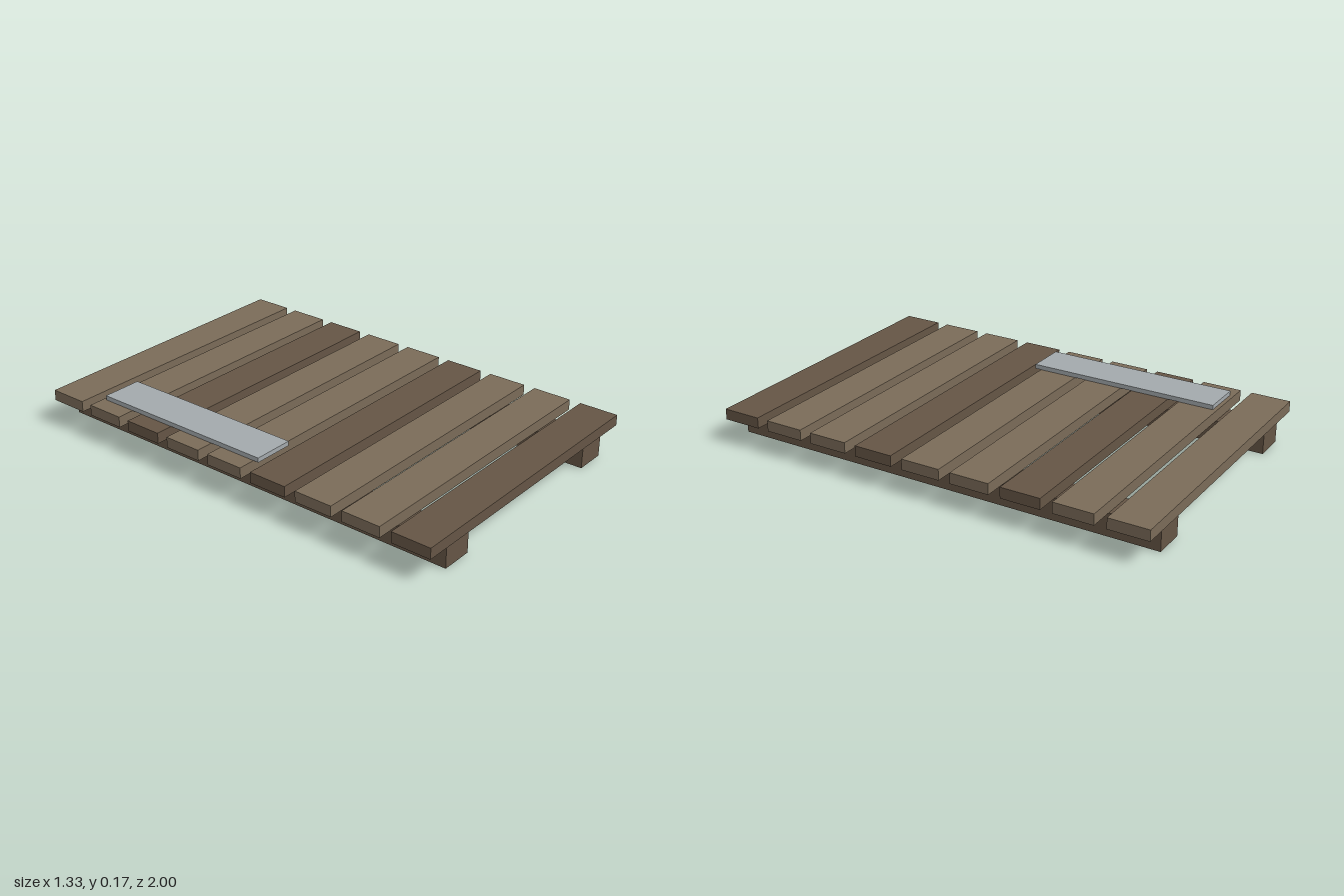
import * as THREE from 'three';

const material = (color) => new THREE.MeshStandardMaterial({ color });

export function createModel() {
  const model = new THREE.Group();
  const darkWood = material(0x655545);
  const lightWood = material(0x7a6b58);
  const metal = material(0xa3a9ac);

  // Box given by its size, centre and underside height
  function addBox(name, [w, h, d], x, bottom, z, mat) {
    const mesh = new THREE.Mesh(new THREE.BoxGeometry(w, h, d), mat);
    mesh.name = name;
    mesh.position.set(x, bottom + h / 2, z);
    model.add(mesh);
  }

  // Two bearers running front to back
  addBox('leftBearer', [0.14, 0.1, 1.98], 0.482, 0, 0, darkWood);
  addBox('rightBearer', [0.14, 0.1, 1.98], -0.482, 0, 0, darkWood);

  // Nine deck planks from back to front, every third one darker
  const count = 9, depth = 0.176;
  const pitch = (2 - depth) / (count - 1);
  for (let i = 0; i < count; i++) {
    const z = -1 + depth / 2 + i * pitch;
    addBox(`plank${i + 1}`, [1.332, 0.048, depth], 0, 0.1, z, i % 3 === 2 ? darkWood : lightWood);
  }

  // Thin metal plate lying on the deck
  addBox('plate', [0.182, 0.02, 0.87], -0.499, 0.149, -0.32, metal);

  return model;
}
